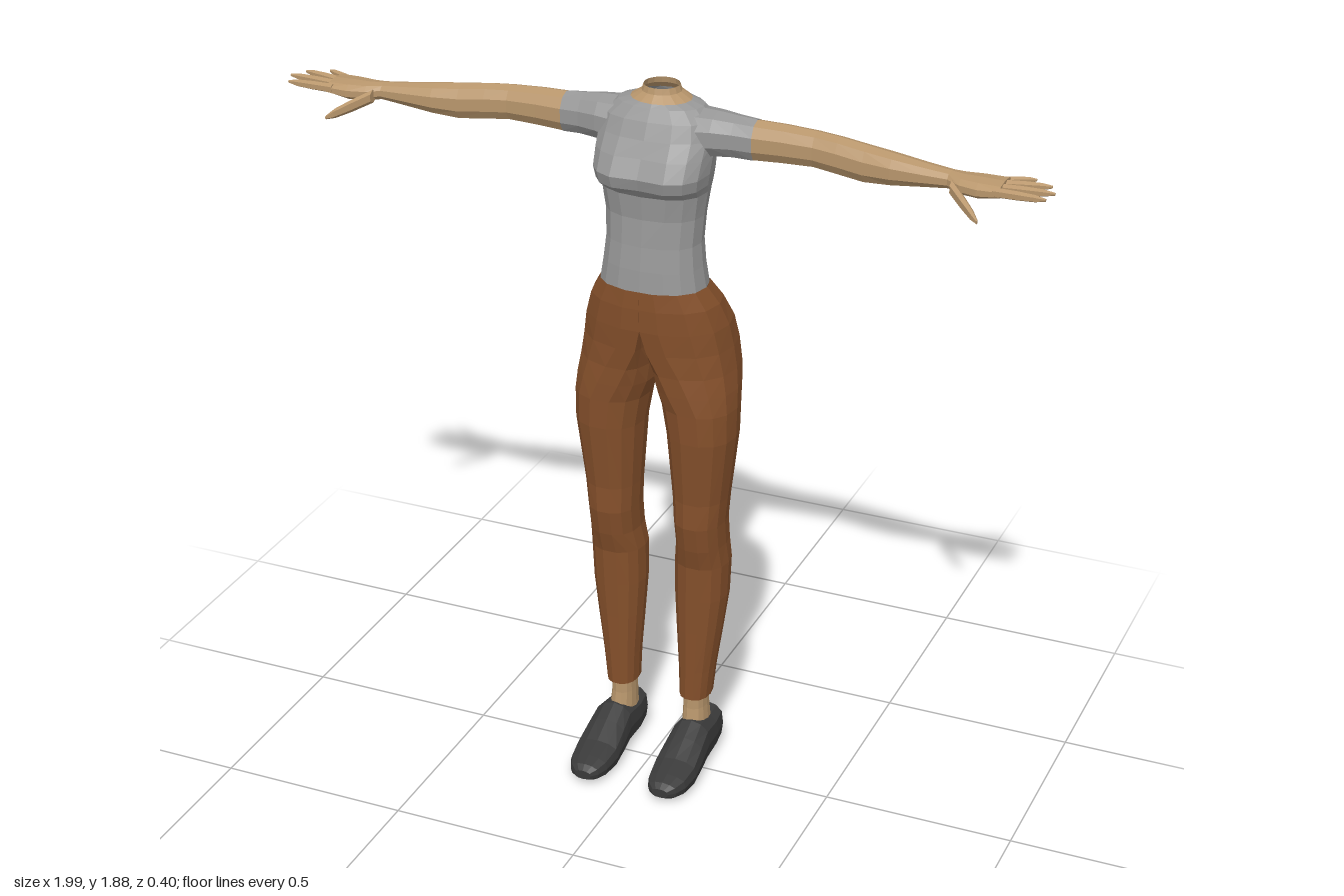
import * as THREE from 'three';

const mat = (name, color) => {
  const m = new THREE.MeshStandardMaterial({ color, flatShading: true, side: THREE.DoubleSide });
  m.name = name;
  return m;
};

// Signed power: below 1 makes a section boxier than an ellipse
const pw = (v, p) => Math.sign(v) * Math.abs(v) ** p;

// Points of one closed section; f(cos, sin) returns [x, y, z]
function ring(n, p, f) {
  const out = [];
  for (let i = 0; i < n; i++) {
    const a = (i / n) * Math.PI * 2;
    out.push(f(pw(Math.cos(a), p), pw(Math.sin(a), p)));
  }
  return out;
}

// Skin faceted quads over a row of sections; side -1 mirrors in x
function loft(rings, side = 1, cap = false) {
  const pos = [];
  const tri = (a, b, c) => {
    for (const q of side > 0 ? [a, b, c] : [a, c, b]) pos.push(q[0] * side, q[1], q[2]);
  };
  const n = rings[0].length;
  for (let i = 0; i < rings.length - 1; i++) {
    for (let j = 0; j < n; j++) {
      const k = (j + 1) % n, A = rings[i], B = rings[i + 1];
      tri(A[j], A[k], B[k]);
      tri(A[j], B[k], B[j]);
    }
  }
  if (cap) {
    [rings[0], rings[rings.length - 1]].forEach((r, e) => {
      const c = [0, 1, 2].map((d) => r.reduce((s, q) => s + q[d], 0) / n);
      for (let j = 0; j < n; j++) {
        const k = (j + 1) % n;
        if (e) tri(c, r[j], r[k]);
        else tri(c, r[k], r[j]);
      }
    });
  }
  const g = new THREE.BufferGeometry();
  g.setAttribute('position', new THREE.Float32BufferAttribute(pos, 3));
  g.computeVertexNormals();
  return g;
}

// Central section: height, half width, front z, back z, boxiness
const bodyRing = ([y, w, zf, zb, p = 0.85]) =>
  ring(16, p, (c, s) => [w * c, y, (zf + zb) / 2 + ((zf - zb) / 2) * s]);

// Leg section: height, outer x, inner x, front z, back z, x of front and back ridges
const legRing = ([y, xo, xi, zf, zb, cf = (xo + xi) / 2, cb = cf]) =>
  ring(14, 0.88, (c, s) => {
    const m = (cf + cb) / 2 + ((cf - cb) / 2) * s;
    return [m + (c > 0 ? xo - m : m - xi) * c, y, (zf + zb) / 2 + ((zf - zb) / 2) * s];
  });

// Arm section: x, bottom y, top y, back z, front z
const armRing = (n) => ([x, y0, y1, z0, z1]) =>
  ring(n, 0.9, (c, s) => [x, (y0 + y1) / 2 + ((y1 - y0) / 2) * c, (z0 + z1) / 2 + ((z1 - z0) / 2) * s]);

// Shoe section: z, centre x, half width, bottom y, top y
const shoeRing = ([z, x, w, y0, y1]) =>
  ring(12, 0.7, (c, s) => [x + w * c * (s > 0.8 ? 0.85 : 1), (y0 + y1) / 2 + ((y1 - y0) / 2) * s, z]);

const TORSO = [
  [1.85, 0.072, -0.005, -0.125, 1], [1.838, 0.11, 0.005, -0.13, 0.9], [1.81, 0.142, 0.025, -0.135],
  [1.77, 0.15, 0.045, -0.14], [1.73, 0.148, 0.075, -0.14, 0.8], [1.685, 0.145, 0.1, -0.138, 0.75],
  [1.655, 0.14, 0.092, -0.135, 0.75], [1.632, 0.134, 0.062, -0.132, 0.8], [1.57, 0.126, 0.056, -0.122],
  [1.5, 0.122, 0.062, -0.115], [1.44, 0.128, 0.07, -0.116], [1.383, 0.137, 0.075, -0.122],
];
const NECK = [[1.88, 0.045, -0.022, -0.11, 1], [1.865, 0.05, -0.018, -0.113, 1], [1.848, 0.078, 0, -0.128, 1]];

const TROUSERS = [
  [1.387, 0.14, 0, 0.078, -0.125, 0, 0], [1.34, 0.168, 0, 0.08, -0.155, 0, 0.02],
  [1.28, 0.187, 0, 0.078, -0.188, 0, 0.06], [1.22, 0.196, 0, 0.07, -0.2, 0.02, 0.085],
  [1.16, 0.205, 0, 0.062, -0.192, 0.06, 0.09], [1.11, 0.212, 0.004, 0.06, -0.168, 0.09, 0.1],
  [1.06, 0.215, 0.022, 0.057, -0.145], [0.98, 0.214, 0.036, 0.053, -0.137], [0.8, 0.192, 0.05, 0.034, -0.127],
  [0.73, 0.185, 0.054, 0.035, -0.13], [0.66, 0.184, 0.055, 0.022, -0.142], [0.6, 0.188, 0.046, 0.004, -0.145],
  [0.5, 0.184, 0.046, 0, -0.143], [0.4, 0.171, 0.052, -0.003, -0.132], [0.28, 0.154, 0.06, -0.006, -0.12],
  [0.195, 0.145, 0.063, -0.008, -0.115],
];
const ANKLE = [[0.21, 0.133, 0.073, -0.02, -0.104], [0.16, 0.134, 0.072, -0.02, -0.108], [0.09, 0.14, 0.07, -0.01, -0.115]];

const SLEEVE = [
  [0.1, 1.71, 1.836, -0.13, 0.01], [0.15, 1.722, 1.835, -0.118, 0.004],
  [0.2, 1.724, 1.829, -0.11, -0.01], [0.25, 1.722, 1.826, -0.104, -0.016],
];
const ARM = [
  [0.249, 1.723, 1.825, -0.103, -0.017], [0.32, 1.726, 1.823, -0.104, -0.022], [0.4, 1.728, 1.818, -0.104, -0.026],
  [0.46, 1.722, 1.815, -0.098, -0.02], [0.53, 1.715, 1.807, -0.094, -0.013], [0.6, 1.722, 1.8, -0.086, -0.006],
  [0.68, 1.733, 1.79, -0.074, -0.008], [0.745, 1.741, 1.783, -0.066, -0.01],
];
const HAND = [
  [0.74, 1.741, 1.783, -0.066, -0.01], [0.775, 1.738, 1.783, -0.07, 0.012],
  [0.82, 1.738, 1.784, -0.077, 0.025], [0.875, 1.748, 1.782, -0.08, 0.026],
];
// Base and tip (x, y, z) with base half thickness
const DIGITS = {
  indexFinger: [[0.86, 1.767, 0.014], [0.985, 1.768, 0.016], 0.012],
  middleFinger: [[0.86, 1.767, -0.014], [0.997, 1.772, -0.018], 0.012],
  ringFinger: [[0.86, 1.766, -0.04], [0.978, 1.77, -0.062], 0.012],
  littleFinger: [[0.85, 1.763, -0.066], [0.93, 1.766, -0.099], 0.011],
  thumb: [[0.755, 1.757, 0], [0.845, 1.716, 0.082], 0.017],
};

const SHOE = [
  [-0.145, 0.11, 0.03, 0.03, 0.095], [-0.13, 0.11, 0.044, 0.012, 0.122], [-0.08, 0.11, 0.05, 0.008, 0.12],
  [-0.01, 0.112, 0.052, 0.006, 0.132], [0.04, 0.112, 0.056, 0.002, 0.108], [0.1, 0.112, 0.06, 0, 0.078],
  [0.155, 0.112, 0.053, 0.004, 0.064], [0.185, 0.111, 0.04, 0.01, 0.055], [0.2, 0.11, 0.022, 0.018, 0.043],
];

export function createModel() {
  const skin = mat('skin', 0xb8966c);
  const shirt = mat('shirtGrey', 0x979797);
  const brown = mat('trouserBrown', 0x85502b);
  const dark = mat('shoeBlack', 0x3a3a3a);

  const model = new THREE.Group();
  model.name = 'figure';
  const add = (name, geometry, material) => {
    const m = new THREE.Mesh(geometry, material);
    m.name = name;
    model.add(m);
  };

  // Shirt body with an open collar and neck
  const torso = TORSO.map(bodyRing);
  // Slight hollow down the middle of the chest
  torso.slice(4, 7).forEach((r) => { r[4][2] -= 0.012; });
  add('shirtBody', loft(torso), shirt);
  add('neck', loft(NECK.map(bodyRing)), skin);

  for (const [side, label] of [[1, 'left'], [-1, 'right']]) {
    // Arm
    add(label + 'Sleeve', loft(SLEEVE.map(armRing(10)), side), shirt);
    add(label + 'Arm', loft(ARM.map(armRing(10)), side), skin);
    add(label + 'Hand', loft(HAND.map(armRing(10)), side, true), skin);
    for (const [name, [a, b, r]] of Object.entries(DIGITS)) {
      const rings = [[0, 1], [0.45, 0.95], [0.8, 0.75], [1, 0.3]].map(([t, k]) => {
        const [x, y, z] = a.map((v, d) => v + (b[d] - v) * t);
        return armRing(6)([x, y - r * k, y + r * k, z - r * k, z + r * k]);
      });
      add(label + name[0].toUpperCase() + name.slice(1), loft(rings, side, true), skin);
    }
    // Leg and foot
    add(label + 'TrouserLeg', loft(TROUSERS.map(legRing), side), brown);
    add(label + 'Ankle', loft(ANKLE.map(legRing), side), skin);
    add(label + 'Shoe', loft(SHOE.map(shoeRing), side, true), dark);
  }
  return model;
}
